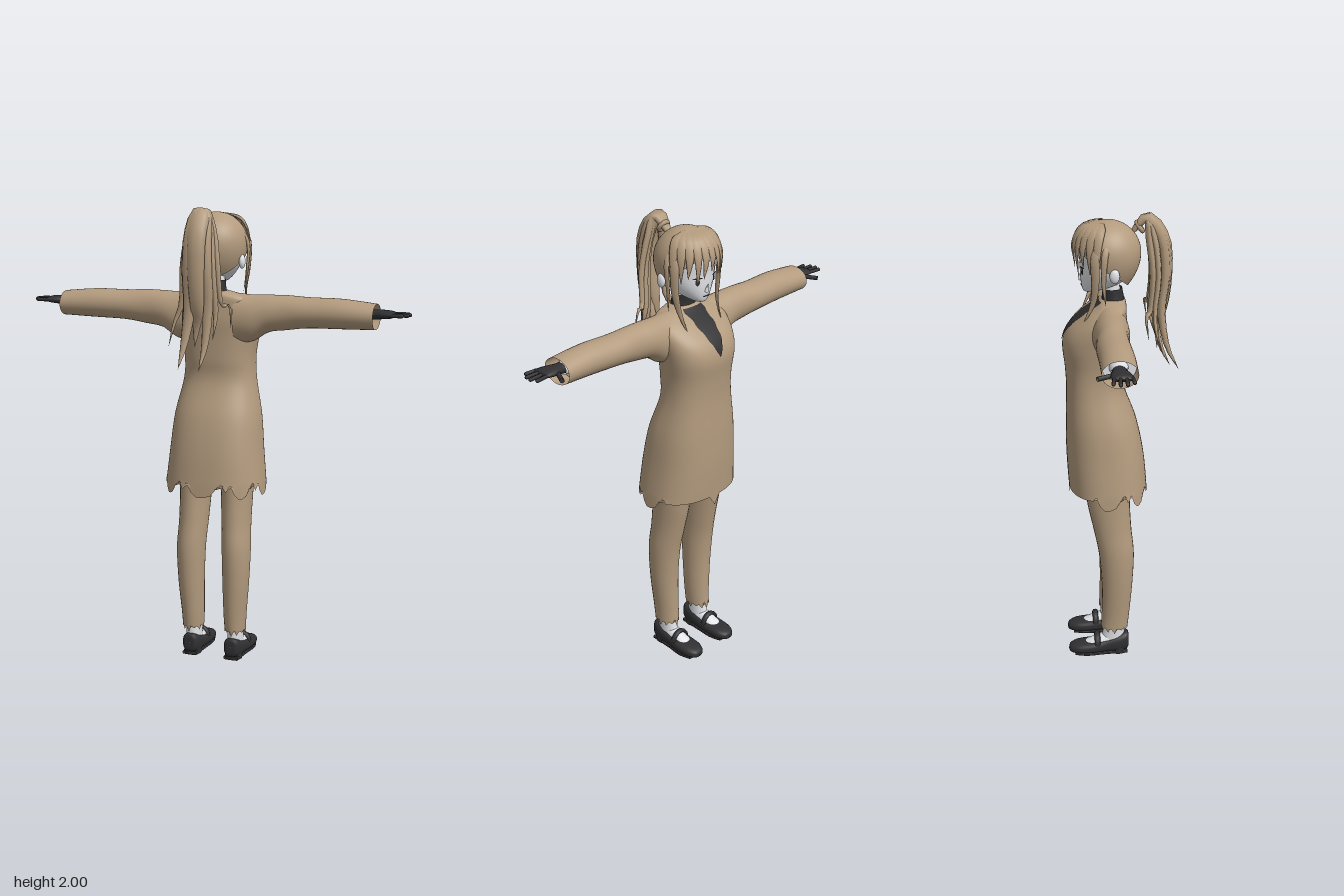
import * as THREE from 'three';

const mat = (name, color) => {
  const m = new THREE.MeshStandardMaterial({ color, side: THREE.DoubleSide });
  m.name = name;
  return m;
};
const V = (x, y, z) => new THREE.Vector3(x, y, z);

// Smooth interpolation through rows of numbers
function sample(rows, t) {
  const f = t * (rows.length - 1), i = Math.min(Math.floor(f), rows.length - 2), u = f - i;
  const at = k => rows[Math.max(0, Math.min(rows.length - 1, k))];
  return rows[0].map((_, j) => {
    const a = at(i - 1)[j], b = at(i)[j], c = at(i + 1)[j], d = at(i + 2)[j];
    return b + 0.5 * u * (c - a + u * (2 * a - 5 * b + 4 * c - d + u * (3 * (b - c) + d - a)));
  });
}

// Grid surface, optionally wrapped around in its first direction
function grid(nu, nv, fn, wrap = true) {
  const pos = [], idx = [], cols = wrap ? nu : nu + 1;
  for (let j = 0; j <= nv; j++)
    for (let i = 0; i < cols; i++) pos.push(...fn(i / nu, j / nv, i).toArray());
  for (let j = 0; j < nv; j++)
    for (let i = 0; i < nu; i++) {
      const a = j * cols + i, b = j * cols + (i + 1) % cols;
      idx.push(a, a + cols, b, b, a + cols, b + cols);
    }
  const g = new THREE.BufferGeometry();
  g.setAttribute('position', new THREE.Float32BufferAttribute(pos, 3));
  g.setIndex(idx);
  g.computeVertexNormals();
  return g;
}

// Loft of superellipses; rows are [position on axis, centre 1, centre 2, radius 1, radius 2]
function loft(axis, rows, { seg = 32, steps = 32, n = 2, edit } = {}) {
  const pw = v => Math.sign(v) * Math.abs(v) ** (2 / n);
  return grid(seg, steps, (u, t, i) => {
    const [p, c1, c2, r1, r2] = sample(rows, t), a = u * Math.PI * 2;
    const q = c1 + Math.max(r1, 0) * pw(Math.cos(a)), w = c2 + Math.max(r2, 0) * pw(Math.sin(a));
    const v = axis === 'x' ? V(p, q, w) : axis === 'y' ? V(q, p, w) : V(q, w, p);
    if (edit) edit(v, t, i, a);
    return v;
  });
}

// Tapered strand of hair, flat along the given wide direction
function lock(points, wide, w, thick) {
  const curve = new THREE.CatmullRomCurve3(points.map(p => V(...p)));
  return grid(8, 16, (u, t) => {
    const tan = curve.getTangent(t), nor = tan.clone().cross(wide).normalize();
    const side = nor.clone().cross(tan).normalize();
    const s = Math.min(1, 0.4 + t * 2.5) * (1 - t ** 3) + 0.002, a = u * Math.PI * 2;
    return curve.getPoint(t).addScaledVector(side, w * s * Math.cos(a))
      .addScaledVector(nor, thick * s * Math.sin(a));
  });
}

export function createModel() {
  const tan = mat('tan cloth and hair', 0xb39b7e);
  const pale = mat('pale skin', 0xe6e8ec);
  const black = mat('black leather', 0x303032);
  const root = new THREE.Group();
  const add = (name, geo, m, parent = root) => {
    const mesh = new THREE.Mesh(geo, m);
    mesh.name = name;
    parent.add(mesh);
    return mesh;
  };

  // Coat with a ragged hem
  const coat = [
    [0.79, 0, -0.06, 0.222, 0.17], [0.95, 0, -0.072, 0.205, 0.167], [1.1, 0, -0.088, 0.19, 0.152],
    [1.25, 0, -0.112, 0.16, 0.124], [1.35, 0, -0.113, 0.155, 0.128], [1.45, 0, -0.115, 0.168, 0.135],
    [1.52, 0, -0.1, 0.178, 0.125], [1.58, 0, -0.072, 0.18, 0.093], [1.62, 0, -0.045, 0.145, 0.065],
    [1.645, 0, -0.035, 0.055, 0.048]];
  const teeth = [-0.03, -0.03, -0.01, 0.03, 0, 0.04, 0.01, -0.02];
  add('coat', loft('y', coat, {
    seg: 64, steps: 54, n: 2.4,
    edit: (v, t, i, a) => {
      if (t === 0) v.y += Math.sin(a) < -0.3 ? (Math.abs(v.x) < 0.03 ? -0.035 : 0.012) : teeth[i % 8];
    },
  }), tan);

  // Dark neckline lying on the front of the coat
  add('neckline', grid(10, 14, (u, t) => {
    const y = 1.638 - 0.18 * t;
    let lo = 0, hi = 1;
    for (let k = 0; k < 24; k++) {
      const mid = (lo + hi) / 2;
      if (sample(coat, mid)[0] < y) lo = mid; else hi = mid;
    }
    const [, , cz, rx, rz] = sample(coat, lo);
    const x = (u * 2 - 1) * (0.054 * (1 - t ** 2) + 0.005 * Math.sin(t * 24) * (1 - t));
    return V(x, y, cz - rz * (1 - Math.abs(x / rx) ** 2.4) ** (1 / 2.4) - 0.005);
  }, false), black);
  add('collar', loft('y', [[1.6, 0, -0.035, 0.062, 0.052], [1.65, 0, -0.035, 0.052, 0.045],
    [1.69, 0, -0.04, 0.049, 0.043]], { steps: 8 }), black);
  add('neck', loft('y', [[1.62, 0, -0.038, 0.043, 0.038], [1.75, 0, -0.05, 0.043, 0.038]], { steps: 3 }), pale);

  // Head and face
  add('head', loft('y', [
    [1.672, 0, -0.135, 0.002, 0.002], [1.68, 0, -0.125, 0.028, 0.034], [1.71, 0, -0.088, 0.068, 0.08],
    [1.75, 0, -0.065, 0.098, 0.107], [1.8, 0, -0.055, 0.114, 0.118], [1.86, 0, -0.055, 0.118, 0.122],
    [1.92, 0, -0.055, 0.095, 0.1], [1.955, 0, -0.055, 0.002, 0.002]]), pale);
  const nose = add('nose', new THREE.ConeGeometry(0.011, 0.035, 8), pale);
  nose.position.set(0, 1.742, -0.174);
  nose.rotation.x = -0.35;
  add('mouth', new THREE.BoxGeometry(0.026, 0.003, 0.004), black).position.set(0, 1.704, -0.167);

  // Hair cap: low at the nape, open over the face
  add('hairCap', grid(48, 20, (u, t) => {
    const a = u * Math.PI * 2, back = (Math.sin(a) + 1) / 2;
    const bottom = 1.89 - 0.19 * back ** 0.8;
    const y = bottom + (1.975 - bottom) * Math.sin(t * Math.PI / 2);
    const f = y > 1.84 ? Math.sqrt(Math.max(0, 1 - ((y - 1.84) / 0.135) ** 2)) : 1 - 0.4 * ((1.84 - y) / 0.14) ** 2;
    return V(0.134 * f * Math.cos(a), y, -0.058 + 0.14 * f * Math.sin(a));
  }), tan);

  // Bangs fanned around the forehead
  for (let i = -5; i <= 5; i++) {
    const a = i * 0.25, s = Math.sin(a), c = Math.cos(a);
    const end = 1.815 - 0.02 * (Math.abs(i) % 3) - 0.006 * Math.abs(i);
    add('bang', lock([[0.04 * s, 1.968, -0.075 - 0.02 * c], [0.105 * s, 1.945, -0.06 - 0.108 * c],
      [0.136 * s, 1.88, -0.06 - 0.142 * c], [0.134 * s + 0.008 * (i % 2), end, -0.06 - 0.138 * c]],
    V(c, 0, s), 0.023, 0.007), tan);
  }

  // Ponytail: [end x, mid x, width, end y, end z, bulge z]
  const tails = [
    [-0.06, -0.03, 0.04, 1.34, 0.24, 0.18], [0.02, 0.03, 0.036, 1.33, 0.21, 0.16],
    [-0.02, 0, 0.045, 1.42, 0.15, 0.19], [-0.13, -0.07, 0.018, 1.42, 0.17, 0.15],
    [0.13, 0.075, 0.016, 1.5, 0.12, 0.13], [0.06, 0.05, 0.024, 1.45, 0.15, 0.14],
    [-0.09, -0.055, 0.024, 1.48, 0.11, 0.13]];
  for (const [ex, mx, w, ey, ez, bz] of tails)
    add('ponytailLock', lock([[mx * 0.1, 1.93, 0.05], [mx * 0.3, 1.985, 0.105], [mx * 0.7, 1.9, bz - 0.015],
      [mx, 1.75, bz], [mx * 1.2, 1.6, bz - 0.015], [(mx + ex) / 2 + mx * 0.2, ey + 0.1, (bz + ez) / 2 - 0.02],
      [ex, ey, ez]], V(1, 0, 0), w, Math.min(w * 0.75, 0.026)), tan);
  const tie = add('hairTie', new THREE.TorusGeometry(0.022, 0.01, 8, 20), tan);
  tie.position.set(0, 1.945, 0.075);
  tie.rotation.x = -0.6;

  // Everything that comes in pairs is built on +x and mirrored
  const half = new THREE.Group();
  half.name = 'leftSide';

  const eye = new THREE.Group();
  eye.name = 'eye';
  const plate = (name, r, sx, sy, y, z, m) => {
    const p = add(name, new THREE.CircleGeometry(r, 20), m, eye);
    p.scale.set(sx, sy, 1);
    p.position.set(0, y, z);
  };
  plate('iris', 0.014, 0.75, 1.05, -0.002, 0.002, black);
  plate('glint', 0.004, 1, 1, 0.004, 0.004, pale);
  plate('upperLash', 0.022, 1, 0.16, 0.014, 0.003, black);
  eye.position.set(0.047, 1.775, -0.163);
  eye.rotation.y = Math.PI - 0.42;
  half.add(eye);

  const ear = add('ear', new THREE.SphereGeometry(0.03, 16, 12), pale, half);
  ear.scale.set(0.45, 1, 0.7);
  ear.position.set(0.125, 1.77, -0.035);

  add('sideLock', lock([[0.1, 1.93, -0.1], [0.13, 1.85, -0.115], [0.128, 1.74, -0.115],
    [0.112, 1.65, -0.125], [0.1, 1.56, -0.165]], V(0.4, 0, 1), 0.02, 0.008), tan, half);
  add('templeLock', lock([[0.1, 1.92, -0.06], [0.136, 1.85, -0.075], [0.132, 1.74, -0.08],
    [0.12, 1.64, -0.07]], V(0, 0, 1), 0.014, 0.007), tan, half);

  // Sleeve, bare forearm inside the cuff, gloved hand
  add('sleeve', loft('x', [
    [0.1, 1.53, -0.05, 0.105, 0.075], [0.17, 1.53, -0.052, 0.1, 0.078], [0.24, 1.552, -0.054, 0.08, 0.072],
    [0.32, 1.559, -0.055, 0.074, 0.066], [0.42, 1.563, -0.056, 0.065, 0.07], [0.56, 1.565, -0.05, 0.063, 0.071],
    [0.71, 1.56, -0.048, 0.054, 0.071]]), tan, half);
  add('forearm', loft('x', [[0.4, 1.565, -0.05, 0.04, 0.045], [0.6, 1.565, -0.05, 0.035, 0.04],
    [0.69, 1.567, -0.05, 0.025, 0.03]], { steps: 6 }), pale, half);
  add('cuffLining', new THREE.RingGeometry(0.02, 0.06, 32).rotateY(Math.PI / 2)
    .scale(1, 0.85, 1.1).translate(0.64, 1.562, -0.048), pale, half);
  add('glove', loft('x', [[0.64, 1.568, -0.05, 0.026, 0.03], [0.7, 1.57, -0.05, 0.021, 0.029],
    [0.74, 1.572, -0.047, 0.019, 0.04], [0.78, 1.573, -0.042, 0.014, 0.043],
    [0.795, 1.573, -0.04, 0.002, 0.036]], { seg: 20, steps: 16 }), black, half);
  const finger = (name, a, b, r) => add(name, new THREE.TubeGeometry(
    new THREE.CatmullRomCurve3([V(...a), V(...a).lerp(V(...b), 0.5), V(...b)]), 6, r, 8), black, half);
  for (let i = 0; i < 4; i++) {
    const z = -0.074 + i * 0.023, tip = [0.838, 0.849, 0.845, 0.826][i];
    finger('finger', [0.775, 1.573, z], [tip, 1.573, z * 1.15 + 0.004], 0.008);
    add('fingertip', new THREE.SphereGeometry(0.008, 8, 6), black, half).position.set(tip, 1.573, z * 1.15 + 0.004);
  }
  finger('thumb', [0.73, 1.568, -0.075], [0.763, 1.566, -0.137], 0.01);

  // Trouser leg with a ragged cuff
  add('trouserLeg', loft('y', [
    [0.125, 0.1, -0.038, 0.046, 0.06], [0.2, 0.1, -0.032, 0.05, 0.062], [0.35, 0.105, -0.025, 0.058, 0.068],
    [0.5, 0.106, -0.028, 0.063, 0.077], [0.62, 0.1, -0.045, 0.064, 0.083], [0.75, 0.097, -0.062, 0.068, 0.093],
    [0.9, 0.095, -0.07, 0.078, 0.1]], {
    seg: 24, edit: (v, t, i) => { if (t === 0) v.y += [-0.015, 0.02, 0, 0.01, -0.01, 0.025][i % 6]; },
  }), tan, half);

  // Foot and strapped shoe
  add('ankle', loft('y', [[0.04, 0.098, -0.05, 0.036, 0.06], [0.09, 0.098, -0.042, 0.034, 0.05],
    [0.2, 0.1, -0.034, 0.034, 0.042]], { steps: 10 }), pale, half);
  add('instep', loft('z', [[-0.02, 0.098, 0.06, 0.034, 0.05], [-0.1, 0.098, 0.05, 0.036, 0.038],
    [-0.18, 0.1, 0.03, 0.034, 0.02]], { steps: 8 }), pale, half);
  add('shoe', loft('z', [
    [0.026, 0.098, 0.06, 0.002, 0.002], [0.022, 0.098, 0.058, 0.03, 0.04], [-0.02, 0.098, 0.05, 0.042, 0.042],
    [-0.08, 0.098, 0.04, 0.045, 0.033], [-0.14, 0.1, 0.032, 0.05, 0.028], [-0.2, 0.1, 0.028, 0.046, 0.024],
    [-0.235, 0.1, 0.024, 0.027, 0.016], [-0.243, 0.1, 0.02, 0.002, 0.002]], { n: 2.6 }), black, half);
  add('sole', loft('z', [[0.02, 0.098, 0.008, 0.034, 0.008], [-0.08, 0.098, 0.008, 0.042, 0.008],
    [-0.16, 0.1, 0.008, 0.05, 0.008], [-0.215, 0.1, 0.008, 0.038, 0.008]], { n: 5, steps: 14 }), black, half);
  add('heel', new THREE.CylinderGeometry(0.04, 0.038, 0.04, 20), black, half).position.set(0.098, 0.02, -0.02);
  add('strap', new THREE.TorusGeometry(0.04, 0.008, 8, 20, Math.PI).scale(1, 1.05, 1.6), black, half)
    .position.set(0.099, 0.047, -0.115);

  const mirror = half.clone();
  mirror.name = 'rightSide';
  mirror.scale.x = -1;
  root.add(half, mirror);
  return root;
}
